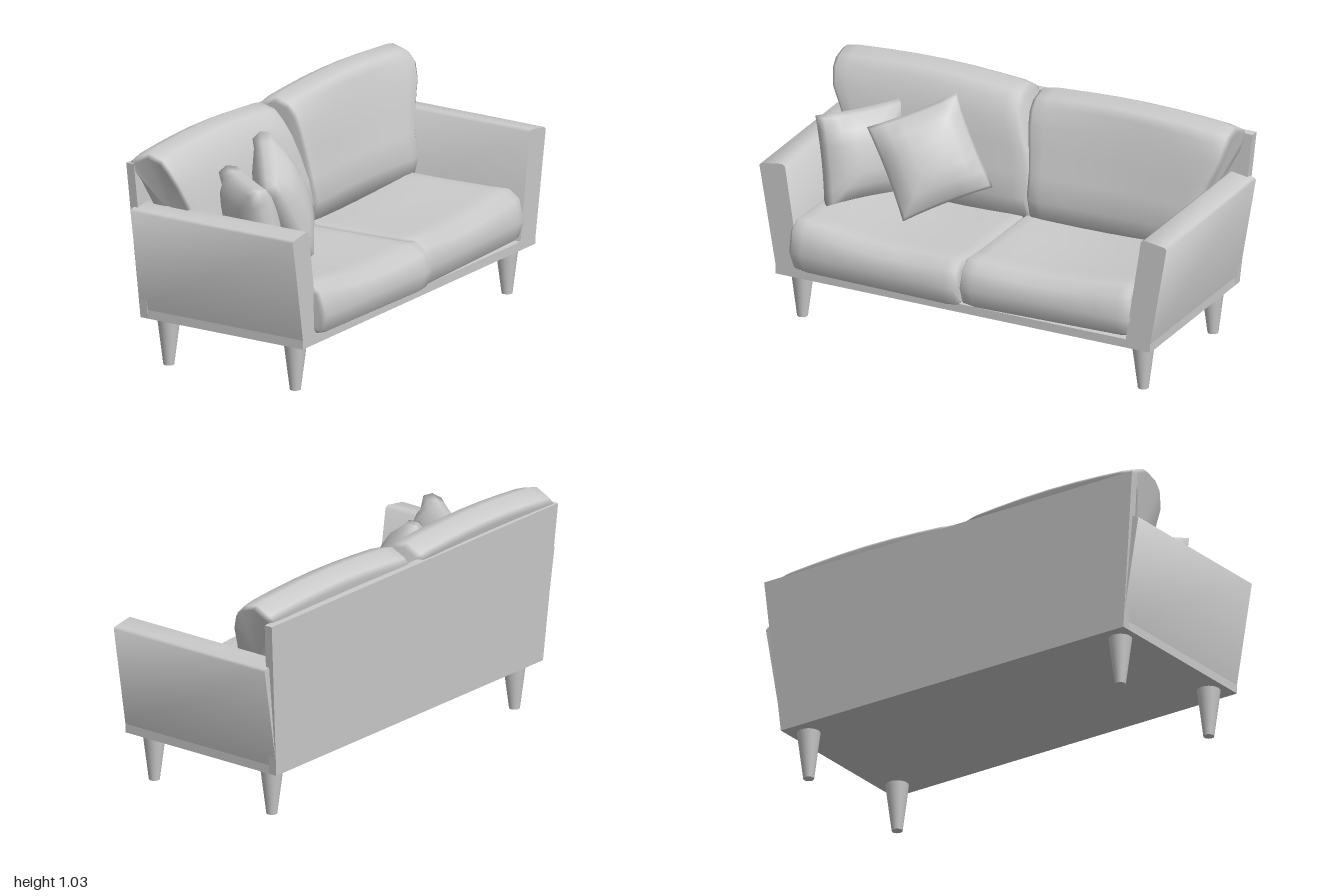
import * as THREE from 'three';
import { mergeVertices, toCreasedNormals } from 'three/addons/utils/BufferGeometryUtils.js';

const material = new THREE.MeshStandardMaterial({ color: 0xcccccc });

function addMesh(parent, name, geometry) {
  const mesh = new THREE.Mesh(geometry, material);
  mesh.name = name;
  parent.add(mesh);
  return mesh;
}

// Closed padded body: an x/y profile (counter-clockwise) swept along z, slightly inset at both ends
function cushion(profile, warp) {
  const stations = [[0, 0.022], [0.02, 0.006], [0.08, 0], [0.2, 0], [0.35, 0], [0.5, 0],
    [0.65, 0], [0.8, 0], [0.92, 0], [0.98, 0.006], [1, 0.022]];
  const box = new THREE.Box2().setFromPoints(profile.map(([x, y]) => new THREE.Vector2(x, y)));
  const c = box.getCenter(new THREE.Vector2());
  const half = box.getSize(new THREE.Vector2()).multiplyScalar(0.5);
  const n = profile.length, positions = [], index = [];
  for (const [t, inset] of stations) {
    for (const [x, y] of profile) {
      positions.push(...warp(x + (c.x - x) / half.x * inset, y + (c.y - y) / half.y * inset, t));
    }
  }
  const last = (stations.length - 1) * n, capA = last + n, capB = capA + 1;
  positions.push(...warp(c.x, c.y, 0), ...warp(c.x, c.y, 1));
  for (let j = 0; j < n; j++) {
    const k = (j + 1) % n;
    for (let i = 0; i < last; i += n) {
      index.push(i + j, i + k, i + n + k, i + j, i + n + k, i + n + j);
    }
    index.push(capA, k, j, capB, last + j, last + k);
  }
  const geo = new THREE.BufferGeometry();
  geo.setAttribute('position', new THREE.Float32BufferAttribute(positions, 3));
  geo.setIndex(index);
  geo.computeVertexNormals();
  return geo;
}

// Square pillow: full in the middle, with a padded edge and sides pulled in between the corners
function pillow(width, height, thickness) {
  let geo = new THREE.BoxGeometry(2, 2, 2, 6, 6, 2);
  geo.deleteAttribute('normal');
  geo.deleteAttribute('uv');
  geo = mergeVertices(geo);
  const p = geo.attributes.position;
  for (let i = 0; i < p.count; i++) {
    const u = p.getX(i), v = p.getY(i), w = p.getZ(i);
    const puff = Math.sqrt((1 - u * u) * (1 - v * v));
    const rim = 1 - 0.06 * Math.abs(w);
    p.setXYZ(i,
      u * width / 2 * rim * (1 - 0.04 * (1 - v * v)),
      v * height / 2 * rim * (1 - 0.04 * (1 - u * u)),
      w * thickness / 2 * (0.4 + 0.6 * puff));
  }
  geo.computeVertexNormals();
  return geo;
}

// Stands a pillow in place from its centre and two edge directions
function placePillow(mesh, centre, across, up) {
  const u = new THREE.Vector3(...across).normalize();
  const n = u.clone().cross(new THREE.Vector3(...up)).normalize();
  mesh.quaternion.setFromRotationMatrix(new THREE.Matrix4().makeBasis(u, n.clone().cross(u), n));
  mesh.position.set(...centre);
}

export function createModel() {
  const sofa = new THREE.Group();
  sofa.name = 'sofa';

  // Base board
  addMesh(sofa, 'baseBoard', new THREE.BoxGeometry(0.85, 0.04, 1.84)).position.set(-0.025, 0.24, 0);

  // Back panel, leaning back and widening to the top
  const panel = new THREE.BoxGeometry(0.04, 1, 2);
  const pp = panel.attributes.position;
  for (let i = 0; i < pp.count; i++) {
    const t = pp.getY(i) + 0.5;
    pp.setXYZ(i, pp.getX(i) - 0.43 - 0.03 * t, 0.22 + 0.72 * t, pp.getZ(i) * (0.92 + 0.068 * t));
  }
  panel.computeVertexNormals();
  addMesh(sofa, 'backPanel', panel);

  // Arms, splayed outward with a softly rounded top
  const armProfile = [[0.92, 0.26], [1, 0.725], [0.99, 0.735], [0.89, 0.75], [0.874, 0.74], [0.8, 0.26]];
  for (const [name, side] of [['leftArm', 1], ['rightArm', -1]]) {
    const shape = new THREE.Shape(armProfile.map(([z, y]) => new THREE.Vector2(side * z, y)));
    const geo = new THREE.ExtrudeGeometry(shape, { depth: 0.85, bevelEnabled: false });
    const arm = addMesh(sofa, name, toCreasedNormals(geo, 1.1));
    arm.rotation.y = -Math.PI / 2;
    arm.scale.x = 1;
    arm.rotation.y = Math.PI / 2;
    arm.position.x = -0.45;
  }

  // Tapered legs
  for (const x of [-0.357, 0.305]) {
    for (const z of [-0.837, 0.837]) {
      addMesh(sofa, 'leg', new THREE.CylinderGeometry(0.052, 0.024, 0.22, 20)).position.set(x, 0.11, z);
    }
  }

  // Seat cushions, sagging in the middle and fuller towards the arms
  const seatProfile = [[-0.35, 0.262], [0.1, 0.262], [0.43, 0.262], [0.452, 0.275], [0.479, 0.355], [0.452, 0.445],
    [0.4, 0.482], [0.3, 0.475], [0, 0.468], [-0.25, 0.465], [-0.35, 0.44]];
  const lerp = THREE.MathUtils.lerp;
  const sag = (y, t, inner, outer) => y + (y > 0.4 ? lerp(inner, outer, t) - 0.025 * Math.sin(Math.PI * t) : 0);
  addMesh(sofa, 'leftSeatCushion', cushion(seatProfile, (x, y, t) => [
    x - (x > 0.2 ? 0.02 * t : 0),
    sag(y, t, -0.008, 0.018),
    lerp(-0.005, 0.83 + (y - 0.27) * 0.05, t)]));
  addMesh(sofa, 'rightSeatCushion', cushion(seatProfile, (x, y, t) => [
    x - (x > 0.2 ? lerp(0.06, 0.025, t) : 0),
    sag(y, t, 0.016, -0.004),
    lerp(-0.825, 0.005, t)]));

  // Back cushions, wider at the top and crowned in the middle
  const backProfile = [[-0.38, 0.43], [-0.18, 0.43], [-0.15, 0.54], [-0.175, 0.65], [-0.2, 0.77], [-0.222, 0.87],
    [-0.25, 0.94], [-0.29, 0.98], [-0.365, 1.0], [-0.44, 0.965], [-0.462, 0.945], [-0.43, 0.88], [-0.4, 0.74]];
  const crown = (y, t) => y + (y > 0.9 ? 0.024 * Math.sin(Math.PI * t) : 0);
  const flare = (y) => THREE.MathUtils.smoothstep(y, 0.62, 0.95);
  addMesh(sofa, 'leftBackCushion', cushion(backProfile, (x, y, t) => [
    x - 0.012 * (y > 0.9 ? 1 : 0),
    crown(y, t),
    lerp(-0.025 + 0.085 * flare(y), 0.87 + 0.118 * flare(y), t)]));
  addMesh(sofa, 'rightBackCushion', cushion(backProfile, (x, y, t) => [
    x + 0.004 - (x > -0.27 ? 0.025 * Math.sin(Math.PI * t) : 0),
    crown(y, t) + 0.004,
    lerp(-0.85 - 0.11 * flare(y), -0.02 + 0.03 * flare(y), t)]));

  // Loose pillows
  placePillow(addMesh(sofa, 'cornerPillow', pillow(0.4, 0.41, 0.21)),
    [-0.01, 0.68, 0.705], [0.81, 0, 0.59], [-0.16, 1, 0.17]);
  placePillow(addMesh(sofa, 'tiltedPillow', pillow(0.42, 0.44, 0.21)),
    [-0.05, 0.705, 0.395], [0.24, -0.13, 0.31], [-0.04, 0.35, 0.24]);

  return sofa;
}
